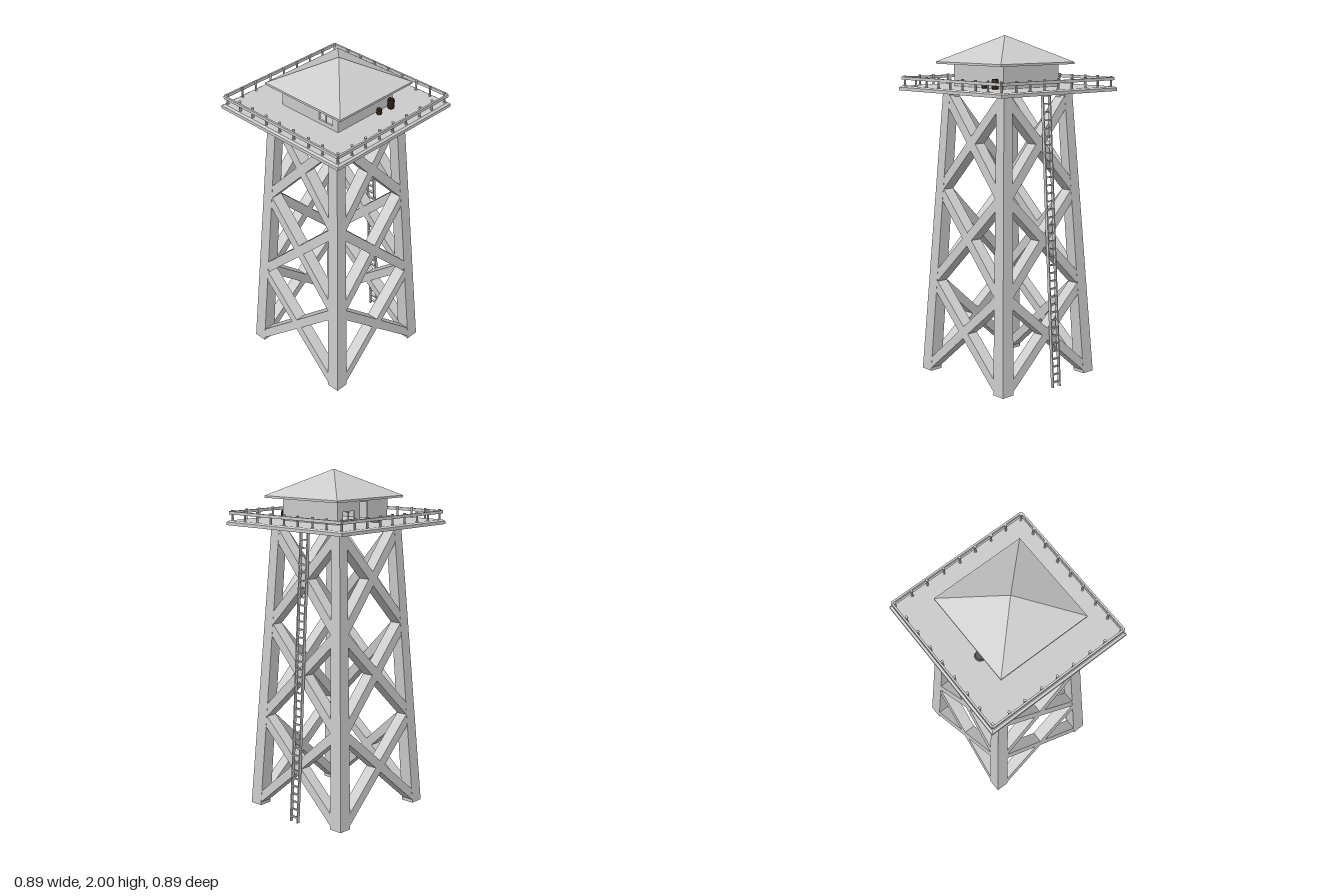
import * as THREE from 'three';

const mat = (color) => new THREE.MeshStandardMaterial({ color, flatShading: true });
const grey = mat(0xcccccc);

// half-width of the tapering tower at height y: outer face, inner leg edge, leg centre
const Y0 = 0.015, Y1 = 1.69;
const lerpY = (a, b) => (y) => a + (b - a) * (y - Y0) / (Y1 - Y0);
const outer = lerpY(0.362, 0.262), inner = lerpY(0.282, 0.2);
const centre = (y) => (outer(y) + inner(y)) / 2;

function add(parent, name, geo, x = 0, y = 0, z = 0, material = grey) {
  const m = new THREE.Mesh(geo, material);
  m.name = name;
  m.position.set(x, y, z);
  parent.add(m);
  return m;
}

const box = (p, name, w, h, d, x, y, z, m) => add(p, name, new THREE.BoxGeometry(w, h, d), x, y, z, m);

// unit box whose corners are moved by a rule
function warpBox(rule) {
  const g = new THREE.BoxGeometry(1, 1, 1), p = g.attributes.position;
  for (let i = 0; i < p.count; i++) p.setXYZ(i, ...rule(p.getX(i), p.getY(i), p.getZ(i)));
  g.computeVertexNormals();
  return g;
}

function rectPath(Type, x0, x1, y0, y1) {
  return new Type([[x0, y0], [x1, y0], [x1, y1], [x0, y1]].map((c) => new THREE.Vector2(...c)));
}

// wall panel with rectangular openings [x0, x1, y0, y1]
function wallGeo(x0, x1, h, openings, thick) {
  const s = rectPath(THREE.Shape, x0, x1, 0, h);
  for (const o of openings) s.holes.push(rectPath(THREE.Path, ...o));
  return new THREE.ExtrudeGeometry(s, { depth: thick, bevelEnabled: false });
}

// one face's crossed braces, flush with the sloping outer plane
function braceFace() {
  const g = new THREE.Group();
  g.name = 'braceFace';
  const levels = [0.03, 0.565, 1.115, 1.655], half = 0.027, depth = 0.07;
  for (let i = 0; i < 3; i++) {
    for (const s of [-1, 1]) {
      const a = new THREE.Vector2(-s * centre(levels[i]), levels[i]);
      const b = new THREE.Vector2(s * centre(levels[i + 1]), levels[i + 1]);
      const dir = b.clone().sub(a).normalize();
      add(g, 'crossBrace', warpBox((u, v, w) => {
        const q = a.clone().lerp(b, u + 0.5);
        const x = q.x - dir.y * v * 2 * half, y = Math.max(Y0, q.y + dir.x * v * 2 * half);
        return [x, y, outer(y) - 0.001 - (0.5 - w) * depth];
      }));
      // the rule above mirrors nothing, so both diagonals keep outward faces
    }
  }
  return g;
}

function buildTower() {
  const tower = new THREE.Group();
  tower.name = 'tower';
  for (const sx of [-1, 1]) for (const sz of [-1, 1]) {
    add(tower, 'leg', warpBox((u, v, w) => {
      const y = v < 0 ? Y0 : Y1;
      const side = (s, t) => s * (s * t > 0 ? outer(y) : inner(y));
      return [side(sx, u), y, side(sz, w)];
    }));
  }
  for (let i = 0; i < 4; i++) {
    const f = braceFace();
    f.rotation.y = i * Math.PI / 2;
    tower.add(f);
  }
  return tower;
}

function buildDeck() {
  const deck = new THREE.Group();
  deck.name = 'deck';
  box(deck, 'deckSlab', 0.886, 0.018, 0.886, 0, 1.694, 0);
  add(deck, 'deckBevel', warpBox((u, v, w) => {
    const r = v < 0 ? 0.886 : 0.862;
    return [u * r, v < 0 ? 1.703 : 1.711, w * r];
  }));
  // four sides of handrail and round posts
  const postGeo = new THREE.CylinderGeometry(0.006, 0.006, 0.06, 10);
  const capGeo = new THREE.CylinderGeometry(0.008, 0.008, 0.006, 10);
  const along = [-0.418, -0.315, -0.215, -0.108, -0.005, 0.1, 0.21, 0.31];
  for (let i = 0; i < 4; i++) {
    const side = new THREE.Group();
    side.name = 'railingSide';
    box(side, 'handrail', 0.856, 0.017, 0.011, 0, 1.755, 0.43);
    for (const x of along) {
      add(side, 'railPost', postGeo, x, 1.739, 0.418);
      add(side, 'postCap', capGeo, x, 1.767, 0.418);
      add(side, 'postFoot', capGeo, x, 1.714, 0.418);
    }
    side.rotation.y = i * Math.PI / 2;
    deck.add(side);
  }
  return deck;
}

function buildCabin() {
  const cabin = new THREE.Group();
  cabin.name = 'cabin';
  cabin.position.set(0, 1.71, 0.01);
  const h = 0.13, t = 0.01, W = 0.212, D = 0.21;
  const win = [0.07, 0.165, 0.025, 0.07], sideWin = [0.07, 0.17, 0.025, 0.07];
  add(cabin, 'frontWall', wallGeo(-W, W, h, [], t), 0, 0, D - t);
  add(cabin, 'backWall', wallGeo(-W, W, h, [win, [-0.04, 0.024, 0.001, 0.115]], t), 0, 0, -D);
  add(cabin, 'rightWall', wallGeo(-D, D, h, [], t), W - t, 0, 0).rotation.y = Math.PI / 2;
  // this wall's local x runs towards the front
  add(cabin, 'leftWall', wallGeo(-D, D, h, [sideWin], t), -W + t, 0, 0).rotation.y = -Math.PI / 2;
  // window bars
  box(cabin, 'windowBar', 0.005, 0.045, 0.006, 0.1175, 0.0475, -D + 0.005);
  box(cabin, 'windowBar', 0.006, 0.045, 0.005, -W + 0.005, 0.0475, 0.12);
  // pyramid roof on a thin eave
  box(cabin, 'eave', 0.56, 0.012, 0.56, 0, 0.134, 0.01);
  const roof = new THREE.ConeGeometry(0.28 * Math.SQRT2, 0.15, 4, 1);
  roof.rotateY(Math.PI / 4);
  add(cabin, 'roof', roof, 0, 0.215, 0.01);
  return cabin;
}

function buildLadder() {
  const ladder = new THREE.Group();
  ladder.name = 'ladder';
  const run = 0.1, rise = 1.69, len = Math.hypot(run, rise);
  ladder.position.set(0.388, 0, -0.027);
  ladder.rotation.z = Math.atan2(run, rise);
  for (const s of [-1, 1]) box(ladder, 'ladderRail', 0.018, len, 0.007, 0, len / 2, s * 0.027);
  const n = 37;
  for (let i = 0; i < n; i++) box(ladder, 'rung', 0.014, 0.008, 0.054, 0, 0.03 + i * (len - 0.05) / (n - 1), 0);
  return ladder;
}

// bulging barrel with a lid
function barrel(name, r, h, x, z, color) {
  const pts = [[0, 0], [0.85, 0], [1, 0.3], [1, 0.7], [0.85, 1], [0, 1]]
    .map(([a, b]) => new THREE.Vector2(a * r, b * h));
  const g = new THREE.Group();
  g.name = name;
  g.position.set(x, 1.711, z);
  add(g, 'barrelBody', new THREE.LatheGeometry(pts, 14), 0, 0, 0, mat(color));
  for (const f of [0.25, 0.75]) {
    const hoop = new THREE.CylinderGeometry(r * 1.03, r * 1.03, h * 0.08, 14);
    add(g, 'barrelHoop', hoop, 0, h * f, 0, mat(0x222222));
  }
  return g;
}

export function createModel() {
  const model = new THREE.Group();
  model.name = 'watchtower';
  model.add(buildTower(), buildDeck(), buildCabin(), buildLadder());
  model.add(barrel('smallBarrel', 0.016, 0.032, 0.08, 0.245, 0x3d2510));
  model.add(barrel('tallBarrel', 0.02, 0.055, 0.172, 0.247, 0x2a1c10));
  // low round lid outside the door
  add(model, 'roundLid', new THREE.CylinderGeometry(0.026, 0.031, 0.016, 16), -0.072, 1.719, -0.234, mat(0x555555));
  return model;
}
